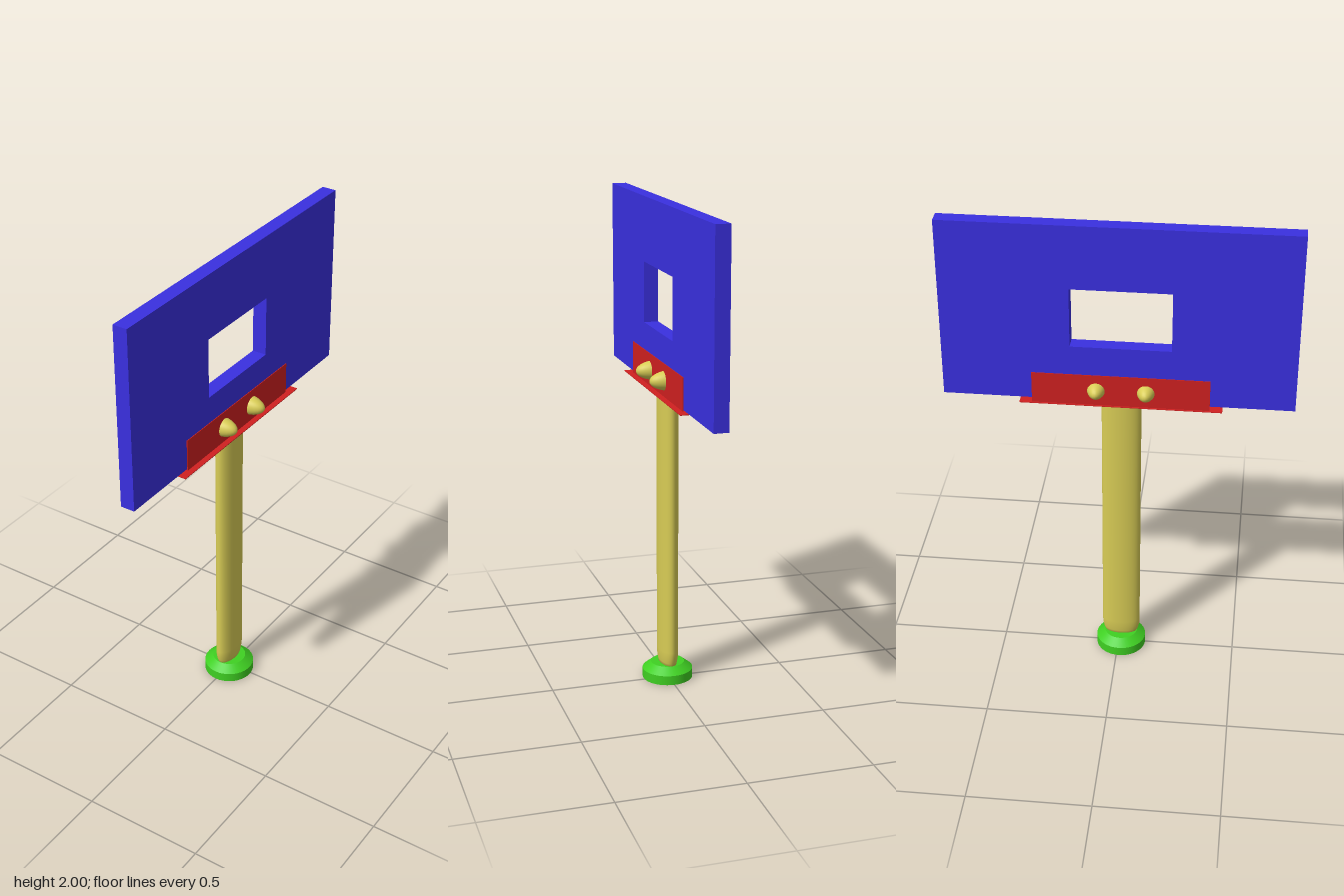
import * as THREE from 'three';

const material = (color, side = THREE.FrontSide) => new THREE.MeshStandardMaterial({ color, side });
const blue = material(0x3a30e0);
const red = material(0xd02020, THREE.DoubleSide);
const yellow = material(0xd8cc55);
const green = material(0x3fd022);

const MID_Z = 0.012; // post, base and bracket share this centre line

function add(group, name, geometry, mat, x = 0, y = 0, z = 0) {
  const mesh = new THREE.Mesh(geometry, mat);
  mesh.name = name;
  mesh.position.set(x, y, z);
  group.add(mesh);
  return mesh;
}

// Lathe from [radius, height] pairs; repeated points keep an edge sharp
const lathe = (points, sides) =>
  new THREE.LatheGeometry(points.map(([r, y]) => new THREE.Vector2(r, y)), sides);

export function createModel() {
  const model = new THREE.Group();
  model.name = 'backboardOnPost';

  // Round foot with a chamfered top
  add(model, 'base', lathe([
    [0, 0], [0.105, 0], [0.105, 0], [0.105, 0.04], [0.105, 0.04],
    [0.07, 0.068], [0.07, 0.068], [0, 0.068],
  ], 40), green, 0, 0, MID_Z);

  // Oval post, rounded in at the foot
  const post = add(model, 'post', lathe([
    [0, 0.06], [0.066, 0.06], [0.073, 0.08], [0.079, 0.105], [0.08, 0.125],
    [0.08, 0.13], [0.08, 1.27], [0.08, 1.27], [0, 1.27],
  ], 40), yellow, 0, 0, MID_Z);
  post.scale.x = 0.5;

  // Board with a rectangular window, drawn in (z, y) and turned to face x
  const board = new THREE.Shape();
  board.moveTo(-0.7, 1.245).lineTo(0.7, 1.245).lineTo(0.7, 2).lineTo(-0.7, 2).closePath();
  const hole = new THREE.Path();
  hole.moveTo(-0.19, 1.485).lineTo(-0.19, 1.735).lineTo(0.21, 1.735).lineTo(0.21, 1.485).closePath();
  board.holes.push(hole);
  const boardGeometry = new THREE.ExtrudeGeometry(board, { depth: 0.06, bevelEnabled: false });
  boardGeometry.rotateY(-Math.PI / 2); // shape x becomes z, depth becomes -x
  add(model, 'board', boardGeometry, blue, 0.04, 0, 0);

  // Sheet bracket: flat flange with a plate up each side of the board
  const bracket = new THREE.Group();
  bracket.name = 'bracket';
  add(bracket, 'flange', new THREE.BoxGeometry(0.124, 0.003, 0.805), red, 0.008, 1.24, MID_Z);
  for (const [name, x] of [['leftPlate', 0.044], ['rightPlate', -0.046]]) {
    add(bracket, name, new THREE.BoxGeometry(0.003, 0.136, 0.705), red, x, 1.307, MID_Z);
  }
  model.add(bracket);

  // Two long oval bolts through plates and board
  for (const [name, z] of [['frontBolt', 0.112], ['backBolt', -0.085]]) {
    const bolt = add(model, name, new THREE.SphereGeometry(1, 32, 20), yellow, 0.006, 1.305, z);
    bolt.scale.set(0.097, 0.042, 0.042);
  }
  return model;
}
